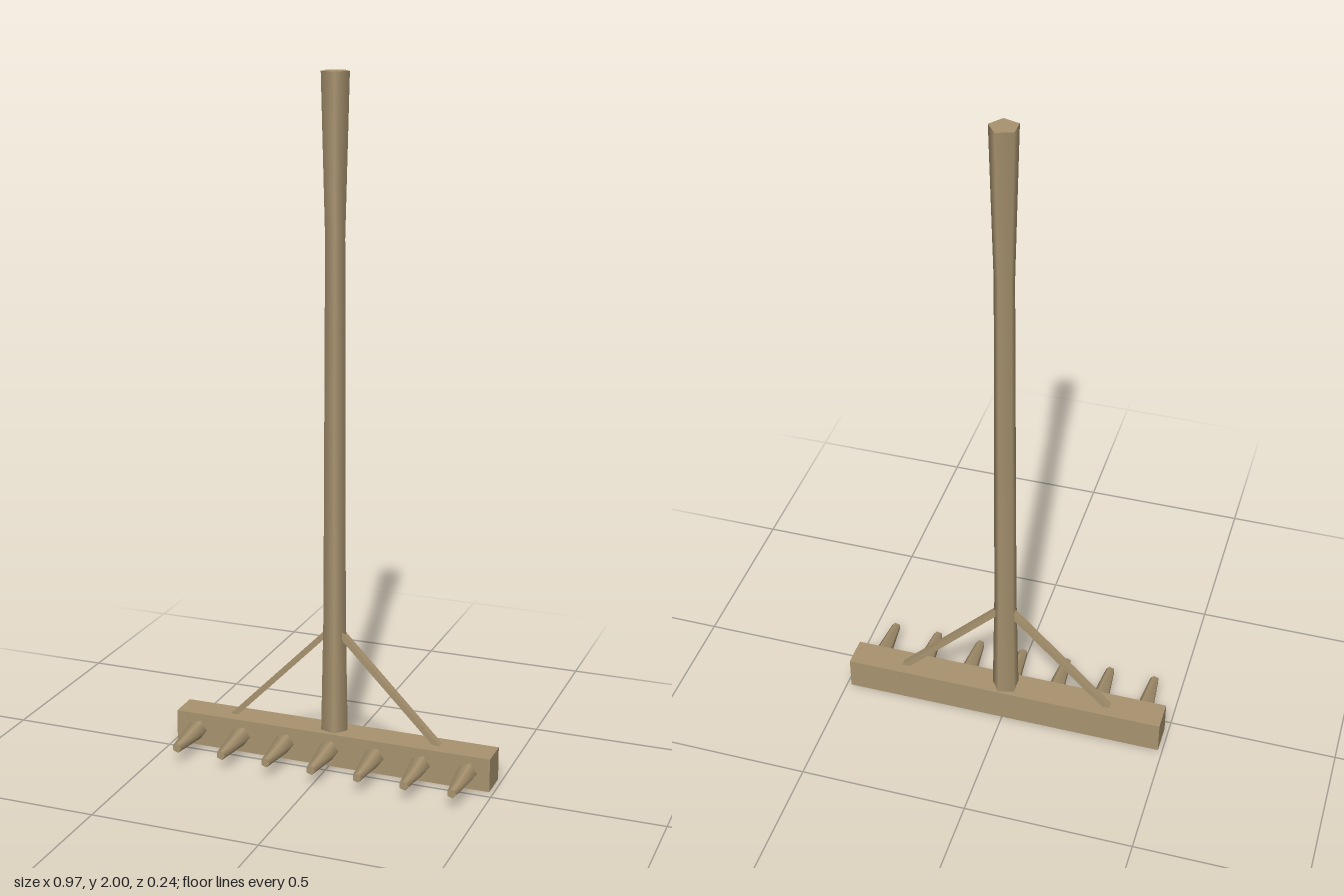
import * as THREE from 'three';

export function createModel() {
  const model = new THREE.Group();
  model.name = 'rake';
  const wood = new THREE.MeshStandardMaterial({ color: 0xa8936f });
  wood.name = 'wood';
  const axisZ = -0.077;

  const add = (name, geometry, x, y, z, parent = model) => {
    const mesh = new THREE.Mesh(geometry, wood);
    mesh.name = name;
    mesh.position.set(x, y, z);
    parent.add(mesh);
    return mesh;
  };

  // Head bar
  add('headBar', new THREE.BoxGeometry(0.974, 0.1, 0.09), 0, 0.05, -0.075);

  // Five-sided handle, flared at both ends
  const handle = new THREE.Group();
  handle.name = 'handle';
  model.add(handle);
  const profile = [[0.041, 0.09], [0.034, 0.45], [0.029, 1.55], [0.041, 2]]
    .map(([r, y]) => new THREE.Vector2(r, y));
  add('handleShaft', new THREE.LatheGeometry(profile, 5, Math.PI / 2), 0, 0, axisZ, handle);
  add('handleEnd', new THREE.CircleGeometry(0.041, 5).rotateX(-Math.PI / 2), 0, 2, axisZ, handle);

  // Seven tapered teeth pointing forward
  const tooth = new THREE.CylinderGeometry(0.014, 0.03, 0.15, 5, 1, false, Math.PI / 2)
    .rotateX(Math.PI / 2);
  for (let i = -3; i <= 3; i++) add('tooth', tooth, i * 0.14, 0.05, 0.043);

  // Diagonal braces from bar to handle
  const low = new THREE.Vector2(0.325, 0.09), high = new THREE.Vector2(0.015, 0.405);
  const span = high.clone().sub(low);
  const braceShape = new THREE.BoxGeometry(span.length(), 0.017, 0.022);
  for (const side of [1, -1]) {
    const brace = add(side > 0 ? 'leftBrace' : 'rightBrace', braceShape,
      side * (low.x + high.x) / 2, (low.y + high.y) / 2, axisZ);
    brace.rotation.z = side * Math.atan2(span.y, span.x);
  }

  return model;
}
